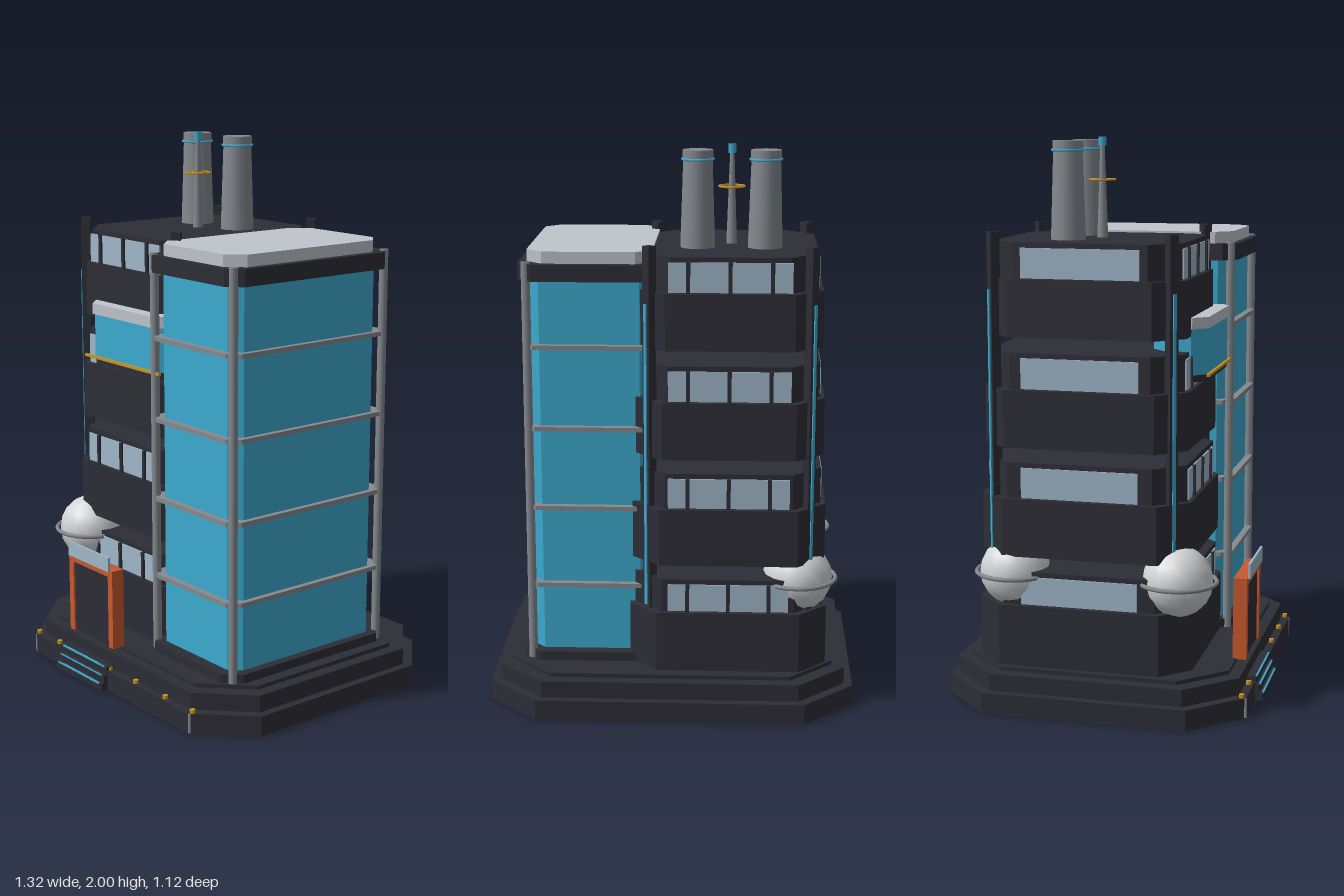
import * as THREE from 'three';

const mat = (name, color) => {
  const m = new THREE.MeshStandardMaterial({ color });
  m.name = name;
  return m;
};

export function createModel() {
  const root = new THREE.Group();
  const dark = mat('charcoal', 0x2d2d36);
  const glass = mat('cyan glass', 0x3dabd0);
  const metal = mat('grey metal', 0x858a90);
  const pale = mat('pale panel', 0xc0c5cc);
  const pane = mat('window blue', 0xa0b8ca);
  const orange = mat('orange', 0xc85a2e);
  const yellow = mat('amber', 0xc8961e);
  const white = mat('dome white', 0xd2d4d6);

  const add = (name, geo, material, x = 0, y = 0, z = 0, parent = root) => {
    const m = new THREE.Mesh(geo, material);
    m.name = name;
    m.position.set(x, y, z);
    parent.add(m);
    return m;
  };
  const group = (name, x = 0, z = 0) => {
    const g = new THREE.Group();
    g.name = name;
    g.position.set(x, 0, z);
    root.add(g);
    return g;
  };
  const box = (w, h, d) => new THREE.BoxGeometry(w, h, d);
  const cyl = (rt, rb, h, n = 16) => new THREE.CylinderGeometry(rt, rb, h, n);
  const torus = (r, t, n = 24) => new THREE.TorusGeometry(r, t, 6, n).rotateX(Math.PI / 2);

  // chamfered rectangle, hx and hz are half sizes
  const octagon = (hx, hz, c) => [
    [hx - c, -hz], [hx, c - hz], [hx, hz - c], [hx - c, hz],
    [c - hx, hz], [-hx, hz - c], [-hx, c - hz], [c - hx, -hz],
  ].map(([x, y]) => new THREE.Vector2(x, y));
  // upright chamfered prism, its bottom at y = 0; wall makes it a hollow ring
  const prism = (hx, hz, c, h, wall = 0) => {
    const shape = new THREE.Shape(octagon(hx, hz, c));
    if (wall) shape.holes.push(new THREE.Path(octagon(hx - wall, hz - wall, c).reverse()));
    return new THREE.ExtrudeGeometry(shape, { depth: h, bevelEnabled: false }).rotateX(-Math.PI / 2);
  };

  // stepped base
  const base = group('base', 0, -0.0135);
  add('basePlinth', prism(0.66, 0.547, 0.18, 0.074), dark, 0, 0, 0, base);
  add('baseMiddle', prism(0.63, 0.517, 0.17, 0.062), dark, 0, 0.074, 0, base);
  add('baseTop', prism(0.585, 0.475, 0.155, 0.014), dark, 0, 0.136, 0, base);

  // lamps along the front of the base
  for (const x of [-0.485, -0.343, -0.2, -0.01, 0.152, 0.328, 0.485]) {
    add('baseLamp', cyl(0.01, 0.01, 0.014, 8), yellow, x, 0.08, 0.517);
  }
  for (const x of [-0.485, 0.485]) add('lampPost', cyl(0.005, 0.005, 0.07, 6), metal, x, 0.037, 0.531);

  // entrance steps with cyan edges
  for (let i = 0; i < 3; i++) {
    const front = 0.56 - i * 0.012, top = 0.03 * (i + 1);
    add('step', box(0.3, 0.03, 0.06), dark, -0.155, top - 0.015, front - 0.03);
    add('stepEdge', box(0.27, 0.006, 0.006), glass, -0.155, top - 0.003, front - 0.001);
  }

  // office tower: four separate storeys carried by corner posts
  const tower = group('officeTower', -0.205, -0.055);
  const storeys = [[0.15, 0.37, 0.49], [0.545, 0.752, 0.88], [0.932, 1.137, 1.265], [1.32, 1.52, 1.645]];
  storeys.forEach(([bottom, sill, top], i) => {
    const hx = 0.355 - i * 0.01, hz = 0.39 - i * 0.011;
    const wx = hx - 0.018, wz = hz - 0.018, h = top - sill;
    add('storeyWall', prism(hx, hz, 0.1, sill - bottom), dark, 0, bottom, 0, tower);
    add('windowBand', prism(wx, wz, 0.1, h), dark, 0, sill, 0, tower);
    const wy = sill + (h - 0.015) / 2;
    for (const s of [-1, 1]) {
      add('longWindow', box(0.43, h - 0.02, 0.006), pane, 0, wy, s * (wz + 0.002), tower);
      for (const x of [-0.145, 0, 0.145]) {
        add('mullion', box(0.014, h - 0.015, 0.018), dark, x, wy, s * (wz + 0.004), tower);
      }
      add('sideWindow', box(0.006, h - 0.02, 0.42), pane, s * (wx + 0.002), wy, 0, tower);
    }
  });

  // corner posts with a cyan strip on the outer face
  for (const sx of [-1, 1]) for (const sz of [-1, 1]) {
    const post = new THREE.Group();
    post.name = 'cornerPost';
    post.position.set(sx * 0.281, 0, sz * 0.317);
    post.rotation.y = Math.atan2(sx, sz);
    tower.add(post);
    add('postShaft', box(0.034, 1.53, 0.034), dark, 0, 0.915, 0, post);
    add('postStrip', box(0.012, 1.1, 0.008), glass, 0, 0.93, 0.018, post);
  }

  // chimneys
  for (const x of [-0.12, 0.12]) {
    const c = new THREE.Group();
    c.name = 'chimney';
    c.position.set(x, 0, -0.092);
    tower.add(c);
    add('chimneyStack', cyl(0.052, 0.062, 0.31), metal, 0, 1.797, 0, c);
    add('chimneyRim', cyl(0.054, 0.054, 0.038), metal, 0, 1.969, 0, c);
    add('chimneyRing', torus(0.055, 0.005), glass, 0, 1.955, 0, c);
  }

  // antenna
  add('antennaMast', cyl(0.008, 0.02, 0.33, 10), metal, 0, 1.81, 0, tower);
  add('antennaTip', cyl(0.015, 0.015, 0.032, 10), glass, 0, 1.984, 0, tower);
  add('antennaRing', torus(0.046, 0.004, 16), yellow, 0, 1.85, 0, tower);
  for (const r of [0, Math.PI / 2]) {
    add('antennaSpoke', box(0.09, 0.004, 0.004), yellow, 0, 1.85, 0, tower).rotation.y = r;
  }

  // glass tower
  const gt = group('glassTower', 0.29, 0.012);
  add('glassBody', prism(0.217, 0.337, 0.04, 1.4), glass, 0, 0.15, 0, gt);
  add('bottomFrame', prism(0.25, 0.38, 0.06, 0.033), dark, 0, 0.15, 0, gt);
  add('topFrame', prism(0.25, 0.37, 0.05, 0.06), dark, 0, 1.55, 0, gt);
  add('roofSlab', prism(0.221, 0.345, 0.058, 0.042), pale, 0, 1.61, 0, gt);
  for (const y of [0.435, 0.727, 1.02, 1.315]) {
    add('glassRing', prism(0.238, 0.362, 0.04, 0.016, 0.026), metal, 0, y - 0.008, 0, gt);
  }
  for (const x of [-0.219, 0.219]) for (const z of [-0.345, 0.345]) {
    add('glassPost', cyl(0.016, 0.016, 1.465, 10), metal, x, 0.883, z, gt);
  }

  // bay window on the third storey
  const bay = group('bayWindow', -0.13, 0.255);
  add('bayFloor', prism(0.225, 0.095, 0.05, 0.025), dark, 0, 1.157, 0, bay);
  add('bayGlass', prism(0.227, 0.097, 0.05, 0.163), glass, 0, 1.182, 0, bay);
  add('bayRoof', prism(0.235, 0.102, 0.05, 0.04), pale, 0, 1.345, 0, bay);
  add('bayRail', box(0.46, 0.01, 0.01), yellow, 0.005, 1.185, 0.107, bay);

  // storage domes at the outer corners
  for (const z of [0.28, -0.315]) {
    const d = group('dome', -0.455, z);
    add('domeBall', new THREE.SphereGeometry(0.126, 16, 10), white, 0, 0.47, 0, d);
    add('domeRing', torus(0.138, 0.008), metal, 0, 0.47, 0, d);
  }

  // entrance portal
  const door = group('entrance', -0.155, 0.473);
  for (const s of [-1, 1]) add('doorJamb', box(0.028, 0.3, 0.05), orange, s * 0.126, 0.297, 0, door);
  add('doorLintel', box(0.28, 0.026, 0.05), orange, 0, 0.434, 0, door);
  add('doorLeaf', box(0.226, 0.272, 0.036), dark, 0, 0.286, 0, door);
  add('doorSign', box(0.258, 0.055, 0.009), pane, 0, 0.472, 0.03, door);

  return root;
}
